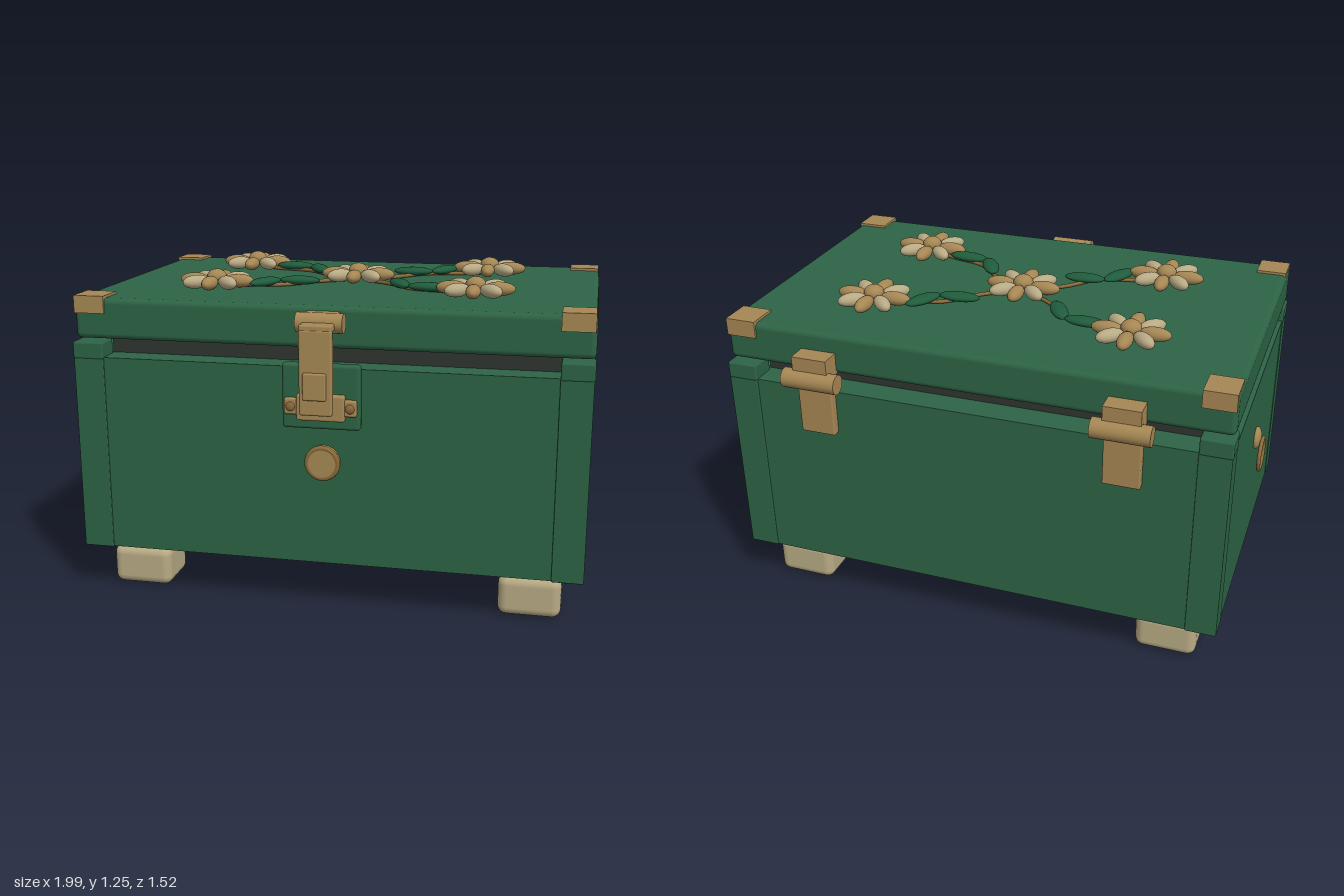
import * as THREE from 'three';
import { RoundedBoxGeometry } from 'three/addons/geometries/RoundedBoxGeometry.js';

const mat = (name, color, extra = {}) => {
  const m = new THREE.MeshStandardMaterial({ color, ...extra });
  m.name = name;
  return m;
};

export function createModel() {
  const green = mat('green paint', 0x2d6345);
  const leafGreen = mat('leaf green', 0x1f5c3c);
  const dark = mat('dark lining', 0x2f3531);
  const brass = mat('brass', 0xa68754);
  const oldBrass = mat('aged brass', 0x8a6b3c);
  const cream = mat('cream', 0xb8aa84);

  const CX = 0.015, CZ = -0.025; // chest centre
  const chest = new THREE.Group();
  chest.name = 'chest';

  const add = (name, geometry, material, x = 0, y = 0, z = 0, parent = chest) => {
    const mesh = new THREE.Mesh(geometry, material);
    mesh.name = name;
    mesh.position.set(x, y, z);
    parent.add(mesh);
    return mesh;
  };
  // Box given by its limits on each axis, with optional edge rounding
  const box = (name, material, [x0, x1], [y0, y1], [z0, z1], r = 0) => {
    const s = [x1 - x0, y1 - y0, z1 - z0];
    const g = r ? new RoundedBoxGeometry(...s, 3, r) : new THREE.BoxGeometry(...s);
    return add(name, g, material, (x0 + x1) / 2, (y0 + y1) / 2, (z0 + z1) / 2);
  };
  const barrel = (name, material, x, y, z, r, length) => {
    const mesh = add(name, new THREE.CylinderGeometry(r, r, length, 24), material, x, y, z);
    mesh.rotation.z = Math.PI / 2;
    return mesh;
  };
  const sides = [-1, 1];

  // Body, base and lid
  box('body', green, [-0.961, 0.993], [0.185, 0.953], [-0.672, 0.627]);
  box('base', green, [-0.885, 0.915], [0.15, 0.19], [-0.585, 0.535], 0.008);
  box('innerLip', dark, [-0.85, 0.88], [0.95, 1.01], [-0.565, 0.52]);
  box('lid', green, [-0.963, 0.995], [1.02, 1.177], [-0.652, 0.608], 0.022);

  for (const sx of sides) {
    for (const sz of sides) {
      // Limits of a part running inwards from a corner
      const span = (centre, s, outer, inner) =>
        [centre + s * outer, centre + s * inner].sort((a, b) => a - b);
      box('cornerPost', green, span(CX, sx, 0.979, 0.86), [0.183, 0.95],
        span(-0.0215, sz, 0.6565, 0.555), 0.004);
      box('postCap', green, span(CX, sx, 0.981, 0.86), [0.945, 1.012],
        span(-0.0215, sz, 0.6575, 0.555), 0.008);
      box('foot', cream, span(CX + 0.0025, sx, 0.897, 0.657), [0, 0.158],
        span(CZ + 0.003, sz, 0.587, 0.377), 0.035);
      // Lid corner bracket: top plate and bent-down plate
      box('bracketTop', brass, span(CX, sx, 0.975, 0.855), [1.172, 1.187], span(-0.022, sz, 0.634, 0.51));
      box('bracketFace', brass, span(CX, sx, 0.975, 0.855), [1.12, 1.187], span(-0.022, sz, 0.638, 0.625));
    }
  }

  // Back hinges
  for (const s of sides) {
    const x = CX - 0.001 + s * 0.597;
    barrel('hingeBarrel', brass, x, 1.013, -0.722, 0.038, 0.218);
    box('hingeUpperLeaf', brass, [x - 0.07, x + 0.07], [1.02, 1.105], [-0.73, -0.645]);
    box('hingeLowerLeaf', brass, [x - 0.07, x + 0.07], [0.78, 1.0], [-0.706, -0.67], 0.006);
  }

  // Front latch
  box('latchBacking', green, [-0.133, 0.16], [0.727, 0.972], [0.62, 0.663], 0.012);
  box('catchPlate', brass, [-0.123, 0.15], [0.782, 0.845], [0.655, 0.677], 0.008);
  box('catchBlock', brass, [-0.073, 0.107], [0.765, 0.863], [0.655, 0.692], 0.008);
  for (const s of sides) {
    const screw = add('screw', new THREE.SphereGeometry(0.018, 16, 10), oldBrass, 0.014 + s * 0.112, 0.813, 0.676);
    screw.scale.z = 0.5;
  }
  barrel('latchBarrel', brass, CX, 1.127, 0.663, 0.037, 0.175);
  box('latchMount', brass, [-0.045, 0.075], [1.09, 1.16], [0.595, 0.65]);
  box('latchArm', brass, [-0.047, 0.075], [1.105, 1.133], [0.66, 0.748], 0.008);
  box('latchStrap', brass, [-0.047, 0.075], [0.8, 1.115], [0.717, 0.75], 0.008);
  box('latchTab', brass, [-0.03, 0.056], [0.86, 0.96], [0.745, 0.765], 0.006);

  // Round boss under the latch
  const boss = add('frontBoss', new THREE.CylinderGeometry(0.058, 0.066, 0.032, 32), brass, CX, 0.592, 0.641);
  boss.rotation.x = Math.PI / 2;
  add('frontBossRim', new THREE.TorusGeometry(0.058, 0.011, 10, 32), oldBrass, CX, 0.592, 0.648);

  // Pull ring on one end
  const mount = add('ringMount', new THREE.SphereGeometry(0.045, 20, 14), brass, -0.966, 0.687, -0.03);
  mount.scale.x = 0.45;
  const ring = add('pullRing', new THREE.TorusGeometry(0.065, 0.008, 10, 32), oldBrass, -0.991, 0.617, -0.03);
  ring.rotation.y = Math.PI / 2;

  // Flowers with eight petals each
  const petal = new THREE.SphereGeometry(1, 20, 12);
  const flower = (x, z) => {
    const g = new THREE.Group();
    g.name = 'flower';
    g.position.set(x, 1.208, z);
    for (let i = 0; i < 8; i++) {
      const a = (i * Math.PI) / 4, straight = i % 2 === 0;
      const half = straight ? 0.062 : 0.058;
      const p = add(straight ? 'brassPetal' : 'creamPetal', petal, straight ? brass : cream,
        Math.cos(a) * 0.091, 0, Math.sin(a) * 0.091, g);
      p.rotation.y = -a;
      p.scale.set(half, 0.027, 0.029);
    }
    const heart = add('flowerCentre', petal, brass, 0, 0.014, 0, g);
    heart.scale.set(0.04, 0.031, 0.04);
    chest.add(g);
  };
  const FX = 0.013, FZ = -0.03;
  flower(FX, FZ);

  // Outer flowers, curved vines and leaf pairs
  for (const sx of sides) {
    for (const sz of sides) {
      flower(FX + sx * 0.518, FZ + sz * 0.29);
      const path = [[0.05, 0.03], [0.14, 0.09], [0.26, 0.21], [0.38, 0.245], [0.48, 0.28]];
      const curve = new THREE.CatmullRomCurve3(
        path.map(([dx, dz]) => new THREE.Vector3(FX + sx * dx, 1.186, FZ + sz * dz)));
      add('vine', new THREE.TubeGeometry(curve, 24, 0.008, 8), oldBrass);
      const steepInner = sx === sz;
      [[0.205, 0.175, steepInner], [0.33, 0.245, !steepInner]].forEach(([dx, dz, steep]) => {
        const leaf = add('leaf', petal, leafGreen, FX + sx * dx, 1.2, FZ + sz * dz);
        leaf.rotation.y = -sx * sz * (steep ? 1.07 : 0.06);
        leaf.scale.set(0.083, 0.018, 0.033);
      });
    }
  }
  return chest;
}
